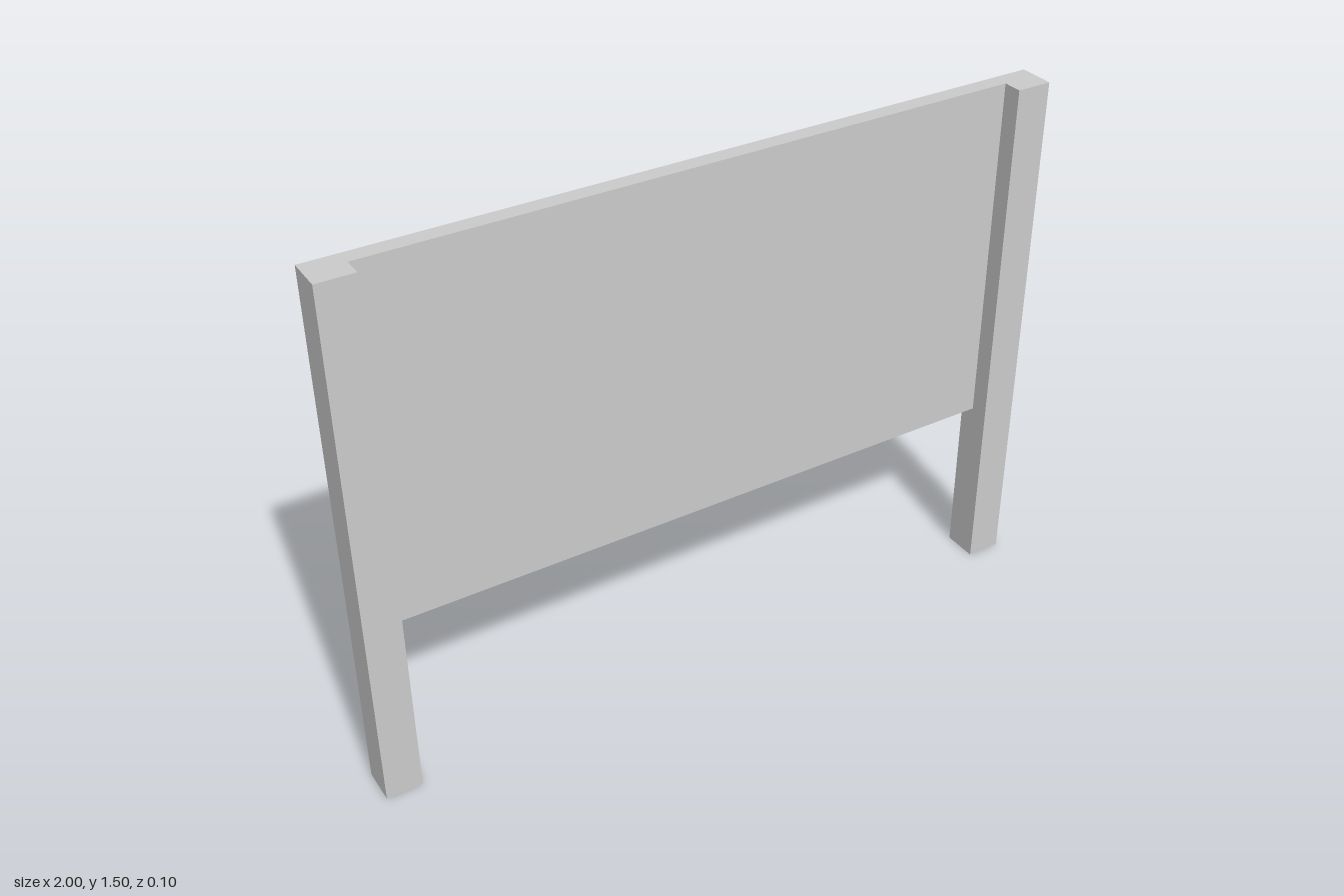
import * as THREE from 'three';

export function createModel() {
  const model = new THREE.Group();
  model.name = 'headboard';
  const material = new THREE.MeshStandardMaterial({ color: 0xcccccc, flatShading: true });

  const height = 1.5, post = 0.1, panelBottom = 0.5, panelDepth = 0.046;

  function addBox(name, w, h, d, x, y, z) {
    const mesh = new THREE.Mesh(new THREE.BoxGeometry(w, h, d), material);
    mesh.name = name;
    mesh.position.set(x, y, z);
    model.add(mesh);
  }

  // Square posts at both ends, running from the floor to the top
  for (const [name, side] of [['leftPost', 1], ['rightPost', -1]]) {
    addBox(name, post, height, post, side * (1 - post / 2), height / 2, 0);
  }

  // Thin panel between the posts, flush with their backs and tops
  addBox('panel', 2 - 2 * post, height - panelBottom, panelDepth,
    0, (height + panelBottom) / 2, -post / 2 + panelDepth / 2);

  return model;
}
